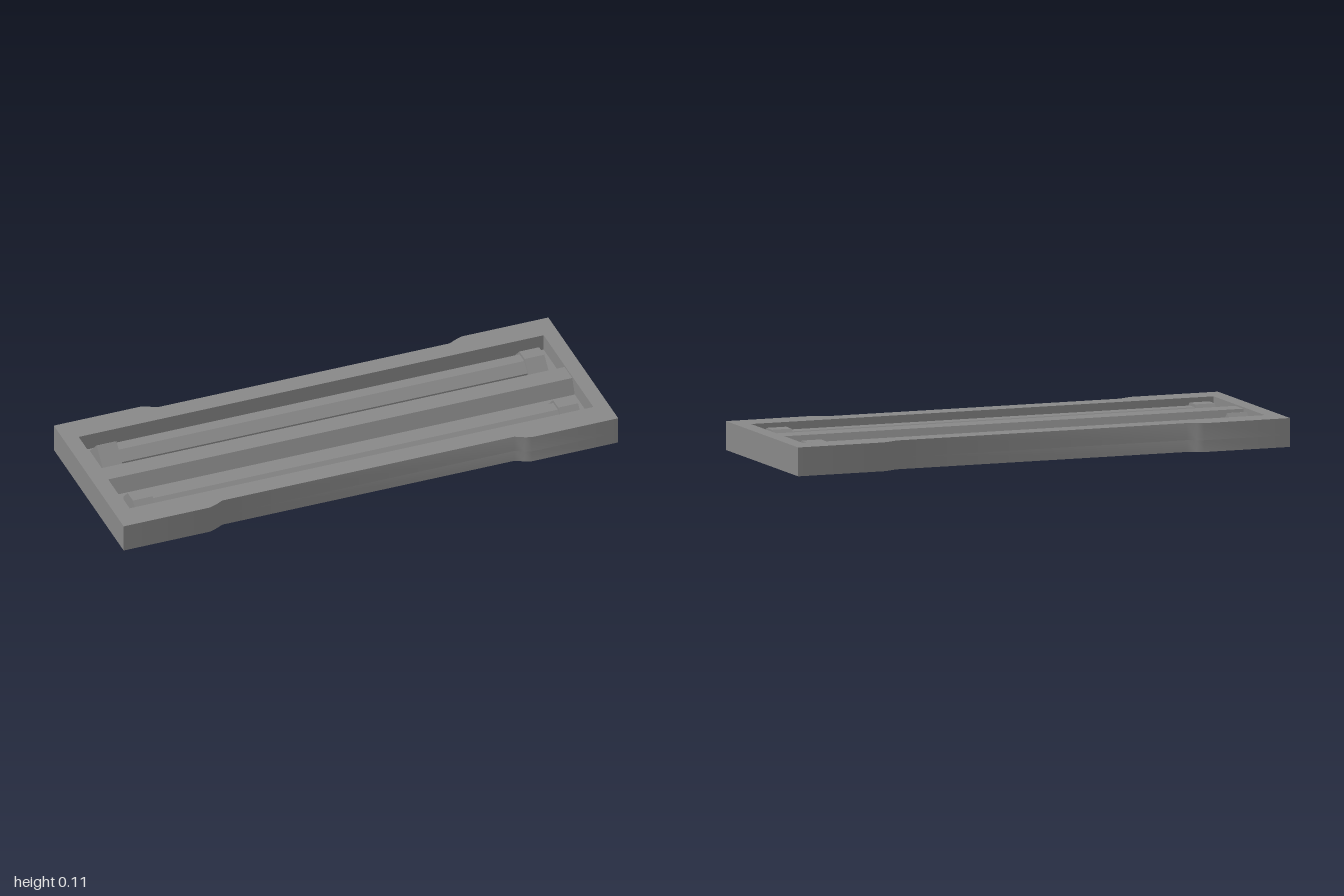
import * as THREE from 'three';
import { toCreasedNormals } from 'three/addons/utils/BufferGeometryUtils.js';

const FLOOR = 0.045, TOP = 0.11, BASE = 0.04;
const material = new THREE.MeshStandardMaterial({ color: 0x888888 });

function add(parent, geometry, name) {
  const mesh = new THREE.Mesh(geometry, material);
  mesh.name = name;
  parent.add(mesh);
  return mesh;
}

const toPoints = (pairs) => pairs.map(([a, b]) => new THREE.Vector2(a, b));

// Plan outline with wide ends and a narrower waist
function outline() {
  const quarter = [[1, 0.363], [0.65, 0.363], [0.625, 0.354], [0.59, 0.336]];
  const mirrored = quarter.map(([x, z]) => [-x, z]).reverse();
  const half = [...quarter, ...mirrored];
  return new THREE.Shape(toPoints([...half, ...half.map(([x, z]) => [-x, -z])]));
}

// Upright extrusion of a plan shape, shaded smoothly round the waist
function slab(shape, y0, y1) {
  const geometry = new THREE.ExtrudeGeometry(shape, { depth: y1 - y0, bevelEnabled: false })
    .rotateX(-Math.PI / 2).translate(0, y0, 0);
  return toCreasedNormals(geometry, 0.6);
}

// Bar along x, symmetric in z, from half a cross-section of [z, y] going upwards
function bar(section, length) {
  const mirrored = section.map(([z, y]) => [-z, y]).reverse();
  const shape = new THREE.Shape(toPoints([...section, ...mirrored]));
  return new THREE.ExtrudeGeometry(shape, { depth: length, bevelEnabled: false })
    .translate(0, 0, -length / 2).rotateY(Math.PI / 2);
}

export function createModel() {
  const model = new THREE.Group();
  model.name = 'lightFixture';

  // Housing: solid base and raised rim around the recess
  const hx = 0.94, hz = 0.258;
  add(model, slab(outline(), 0, FLOOR), 'base');
  const rim = outline();
  rim.holes.push(new THREE.Path(toPoints([[-hx, -hz], [-hx, hz], [hx, hz], [hx, -hz]])));
  add(model, slab(rim, FLOOR, TOP), 'rim');

  // Sloped divider between the lamps
  add(model, bar([[0.068, BASE], [0.04, 0.104]], 2 * hx), 'centreDivider');

  // Two lamps, each a half-sunk tube with a socket at both ends
  const tubeSection = [[0.06, BASE], [0.06, 0.056], [0.024, 0.09]];
  const socketSection = [[0.073, BASE], [0.073, 0.055], [0.027, 0.101]];
  const peakedSection = [[0.075, BASE], [0.001, 0.113]];
  for (const side of [-1, 1]) {
    const lamp = new THREE.Group();
    lamp.name = side < 0 ? 'backLamp' : 'frontLamp';
    lamp.position.z = side * 0.175;
    model.add(lamp);
    add(lamp, bar(tubeSection, 1.64), 'tube');
    for (const end of [-1, 1]) {
      // One socket stands on its corner, so it comes to a peak
      const section = side < 0 && end < 0 ? peakedSection : socketSection;
      const socket = add(lamp, bar(section, 0.08), end < 0 ? 'rightSocket' : 'leftSocket');
      socket.position.x = end * 0.86;
    }
  }
  return model;
}
